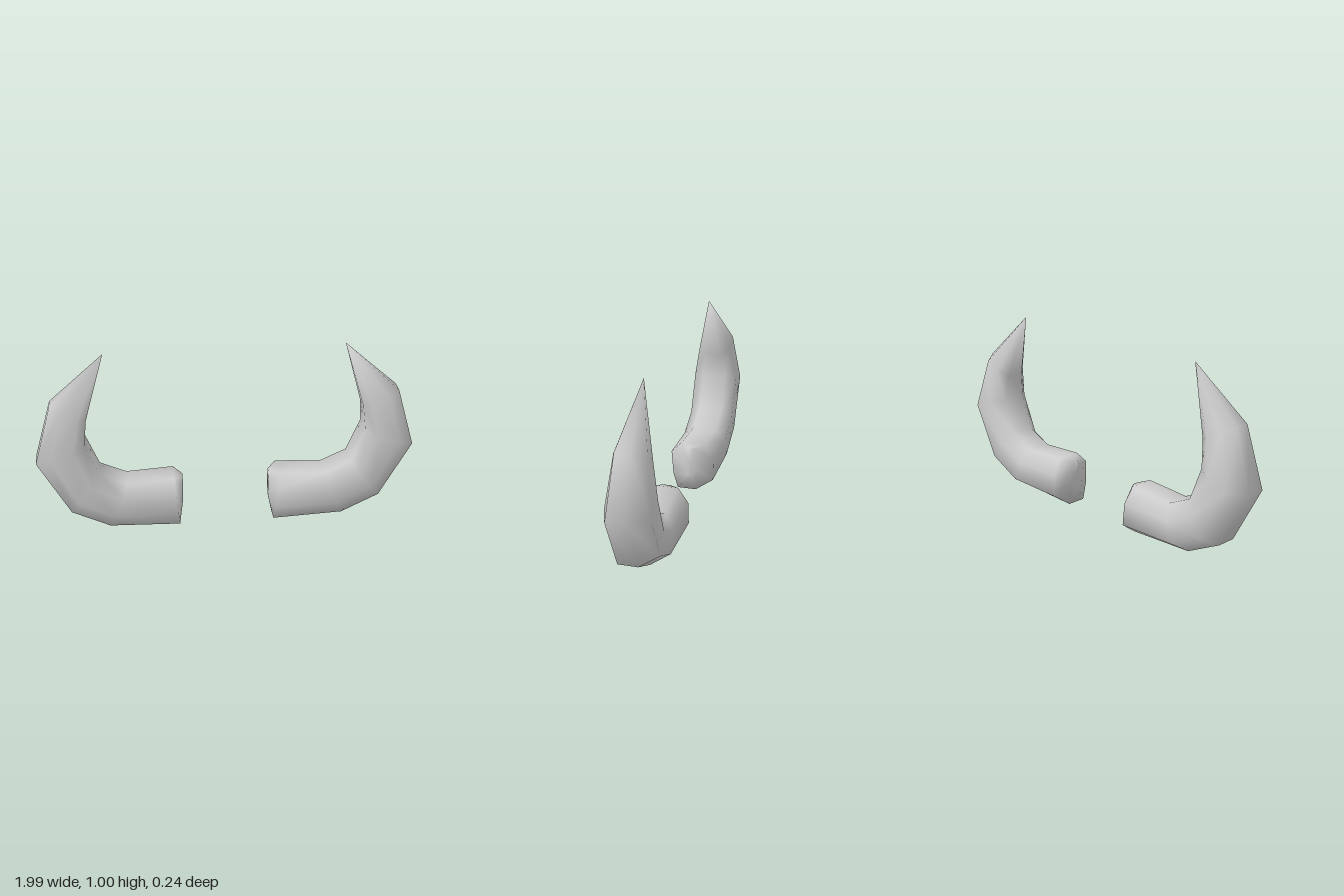
import * as THREE from 'three';

// Cross-section: [t from outer curve (0) to inner curve (1), z]
const section = [
  [0, 0.08], [0, -0.025], [0.25, -0.122], [0.7, -0.122],
  [1, -0.07], [1, 0.06], [0.77, 0.122], [0.3, 0.108],
];

// Stations along the horn: outer point, inner point, depth scale
const stations = [
  [0.235, 0.10, 0.232, 0.265, 0.25],
  [0.255, 0.005, 0.28, 0.28, 1],
  [0.63, 0.02, 0.53, 0.265, 1],
  [0.83, 0.12, 0.67, 0.33, 1],
  [0.995, 0.43, 0.74, 0.51, 1],
  [0.905, 0.745, 0.725, 0.65, 0.72],
];
const baseCentre = [0.232, 0.18, 0];
const tip = [0.62, 1.005, 0];

function hornGeometry(side) {
  const n = section.length;
  const pos = [];
  const index = [];
  const add = (x, y, z) => pos.push(side * x, y, z);
  const face = (a, b, c) => (side > 0 ? index.push(a, b, c) : index.push(a, c, b));

  for (const [ox, oy, ix, iy, depth] of stations) {
    for (const [t, z] of section) add(ox + (ix - ox) * t, oy + (iy - oy) * t, z * depth);
  }
  const last = (stations.length - 1) * n;
  const centreId = pos.length / 3;
  add(...baseCentre);
  add(...tip);

  for (let j = 0; j < n; j++) {
    const k = (j + 1) % n;
    // Walls between neighbouring rings
    for (let r = 0; r < last; r += n) {
      face(r + j, r + k, r + n + j);
      face(r + k, r + n + k, r + n + j);
    }
    // Closed base and pointed tip
    face(centreId, k, j);
    face(last + j, last + k, centreId + 1);
  }

  const geometry = new THREE.BufferGeometry();
  geometry.setAttribute('position', new THREE.Float32BufferAttribute(pos, 3));
  geometry.setIndex(index);
  geometry.computeVertexNormals();
  return geometry;
}

export function createModel() {
  const group = new THREE.Group();
  group.name = 'horns';
  const material = new THREE.MeshStandardMaterial({ color: 0xcccccc });
  for (const [name, side] of [['leftHorn', 1], ['rightHorn', -1]]) {
    const horn = new THREE.Mesh(hornGeometry(side), material);
    horn.name = name;
    group.add(horn);
  }
  return group;
}
